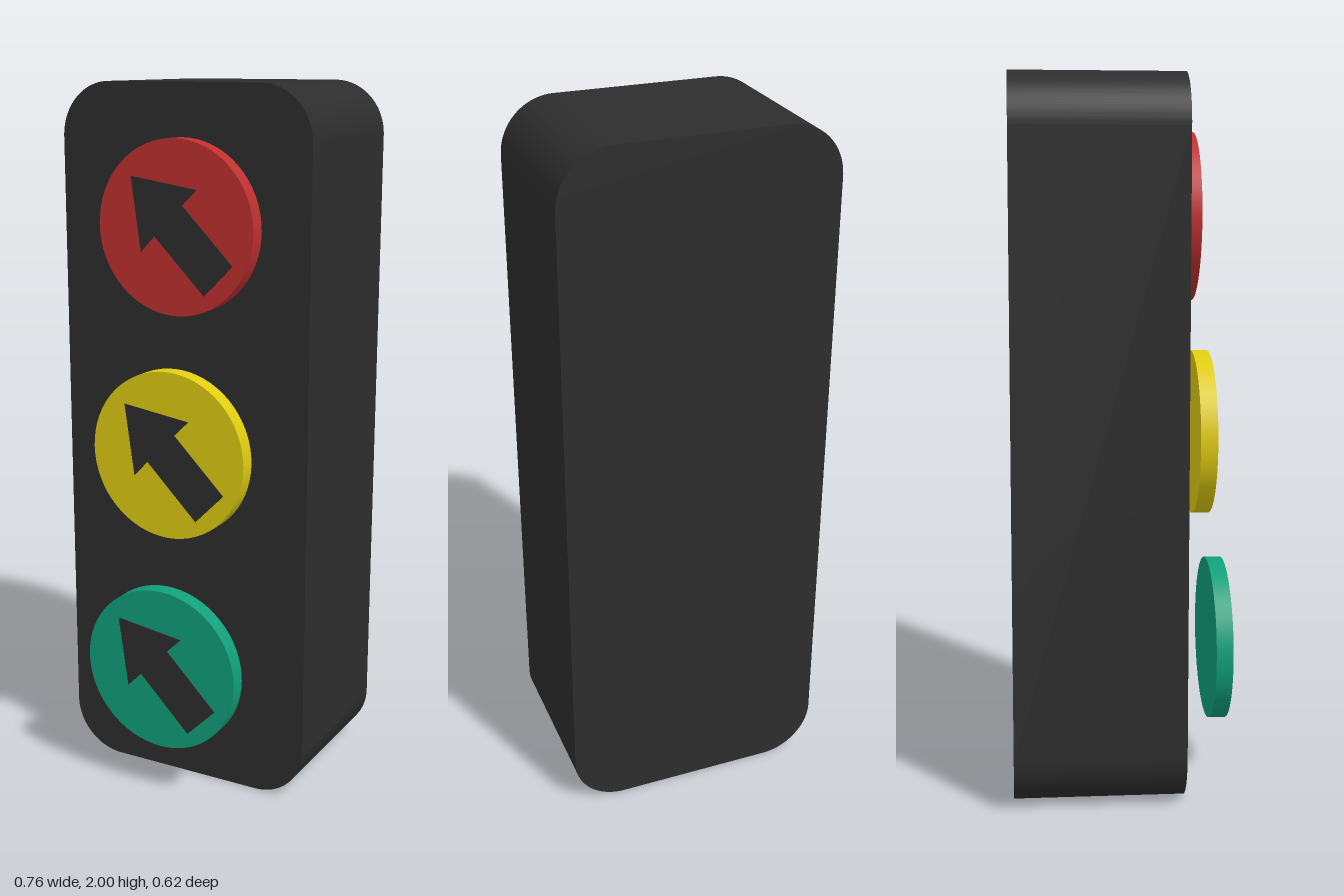
import * as THREE from 'three';
import { toCreasedNormals } from 'three/addons/utils/BufferGeometryUtils.js';

const mat = (color) => new THREE.MeshStandardMaterial({ color });

// Rounded rectangle standing on y = 0
function housingShape(w, h, r) {
  const s = new THREE.Shape();
  s.absarc(w - r, r, r, -Math.PI / 2, 0);
  s.absarc(w - r, h - r, r, 0, Math.PI / 2);
  s.absarc(r - w, h - r, r, Math.PI / 2, Math.PI);
  s.absarc(r - w, r, r, Math.PI, Math.PI * 1.5);
  s.closePath();
  return s;
}

// Diagonal arrow: one half, mirrored over the line y = -x
function arrowShape() {
  const half = [[0.176, -0.09], [0.024, 0.062], [0.068, 0.105]];
  const mirrored = half.map(([x, y]) => [-y, -x]).reverse();
  const points = [...half, [-0.134, 0.134], ...mirrored];
  return new THREE.Shape(points.map(([x, y]) => new THREE.Vector2(x, y)));
}

export function createModel() {
  const group = new THREE.Group();
  const dark = mat(0x2d2d2d);

  // Housing
  const body = new THREE.ExtrudeGeometry(housingShape(0.38, 2, 0.15), {
    depth: 0.475, bevelEnabled: false, curveSegments: 16,
  });
  const housing = new THREE.Mesh(toCreasedNormals(body, 0.6), dark);
  housing.name = 'housing';
  housing.position.z = -0.312;
  group.add(housing);

  // Lamps, each stepped further forward than the one above
  const disc = new THREE.CylinderGeometry(0.237, 0.237, 0.048, 64).rotateX(Math.PI / 2);
  const arrowGeo = new THREE.ExtrudeGeometry(arrowShape(), { depth: 0.006, bevelEnabled: false });
  const lamps = [
    ['red', 0xc03030, 1.62, 0.187],
    ['yellow', 0xe0cc10, 1.0, 0.2365],
    ['green', 0x10a07a, 0.382, 0.286],
  ];
  for (const [name, color, y, z] of lamps) {
    const lamp = new THREE.Group();
    lamp.name = `${name}Lamp`;
    lamp.position.set(0, y, z);
    const lens = new THREE.Mesh(disc, mat(color));
    lens.name = `${name}Lens`;
    const arrow = new THREE.Mesh(arrowGeo, dark);
    arrow.name = `${name}Arrow`;
    arrow.position.z = 0.02;
    lamp.add(lens, arrow);
    group.add(lamp);
  }
  return group;
}
